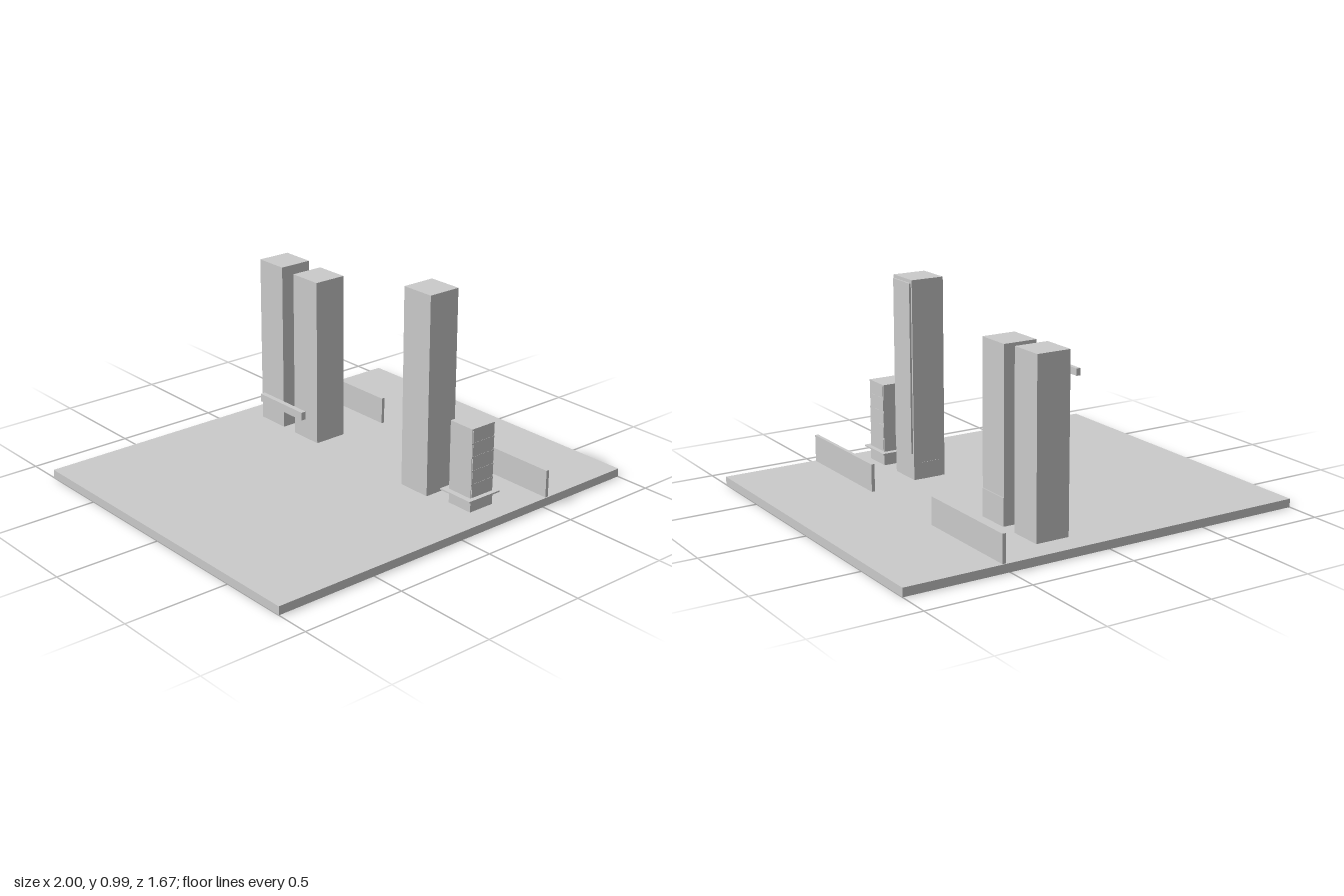
import * as THREE from 'three';

export function createModel() {
  const model = new THREE.Group();
  const grey = new THREE.MeshStandardMaterial({ color: 0xcccccc, flatShading: true });

  // Box given by its limits on each axis
  function box(name, [x0, x1], [y0, y1], [z0, z1], parent = model) {
    const mesh = new THREE.Mesh(new THREE.BoxGeometry(x1 - x0, y1 - y0, z1 - z0), grey);
    mesh.position.set((x0 + x1) / 2, (y0 + y1) / 2, (z0 + z1) / 2);
    mesh.name = name;
    parent.add(mesh);
    return mesh;
  }

  box('groundSlab', [-1, 1], [0, 0.04], [-0.835, 0.835]);

  // Low boundary walls, mirrored front to back
  box('frontWall', [0.518, 0.534], [0.04, 0.17], [0.268, 0.83]);
  box('backWall', [0.518, 0.534], [0.04, 0.17], [-0.83, -0.268]);

  // Raised beam
  box('floatingBeam', [-0.445, -0.423], [0.505, 0.54], [0.02, 0.3]);

  // Tall tower with a facade panel and a doorway panel
  const tall = new THREE.Group();
  tall.name = 'tallTower';
  box('tallTowerBody', [0.122, 0.285], [0.035, 0.985], [0.313, 0.48], tall);
  box('tallTowerFacade', [0.285, 0.294], [0.165, 0.97], [0.322, 0.468], tall);
  box('tallTowerDoor', [0.145, 0.255], [0.04, 0.12], [0.311, 0.314], tall);
  model.add(tall);

  // Rear pair of towers
  box('middleTower', [0.122, 0.285], [0.035, 0.845], [-0.455, -0.285]);
  box('middleTowerEntrance', [0.285, 0.289], [0.04, 0.17], [-0.452, -0.288]);
  box('backTower', [0.125, 0.289], [0.035, 0.855], [-0.71, -0.543]);

  // Small storeyed block on a podium with a canopy
  const block = new THREE.Group();
  block.name = 'storeyBlock';
  const x = [0.155, 0.29], z = [0.588, 0.723];
  box('podium', x, [0.035, 0.1], z, block);
  box('canopy', [0.128, 0.312], [0.1, 0.107], [0.56, 0.745], block);
  box('core', [0.163, 0.289], [0.107, 0.43], [0.597, 0.722], block);
  const floors = 5, bottom = 0.107, step = (0.435 - bottom) / floors;
  for (let i = 0; i < floors; i++) {
    const y0 = bottom + i * step, y1 = y0 + step;
    box('floorSlab', x, [y1 - 0.008, y1], z, block);
    // Screens standing just clear of the core
    box('sideScreen', [0.155, 0.158], [y0, y1 - 0.008], z, block);
    box('rearScreen', x, [y0, y1 - 0.008], [0.588, 0.591], block);
  }
  model.add(block);

  return model;
}
